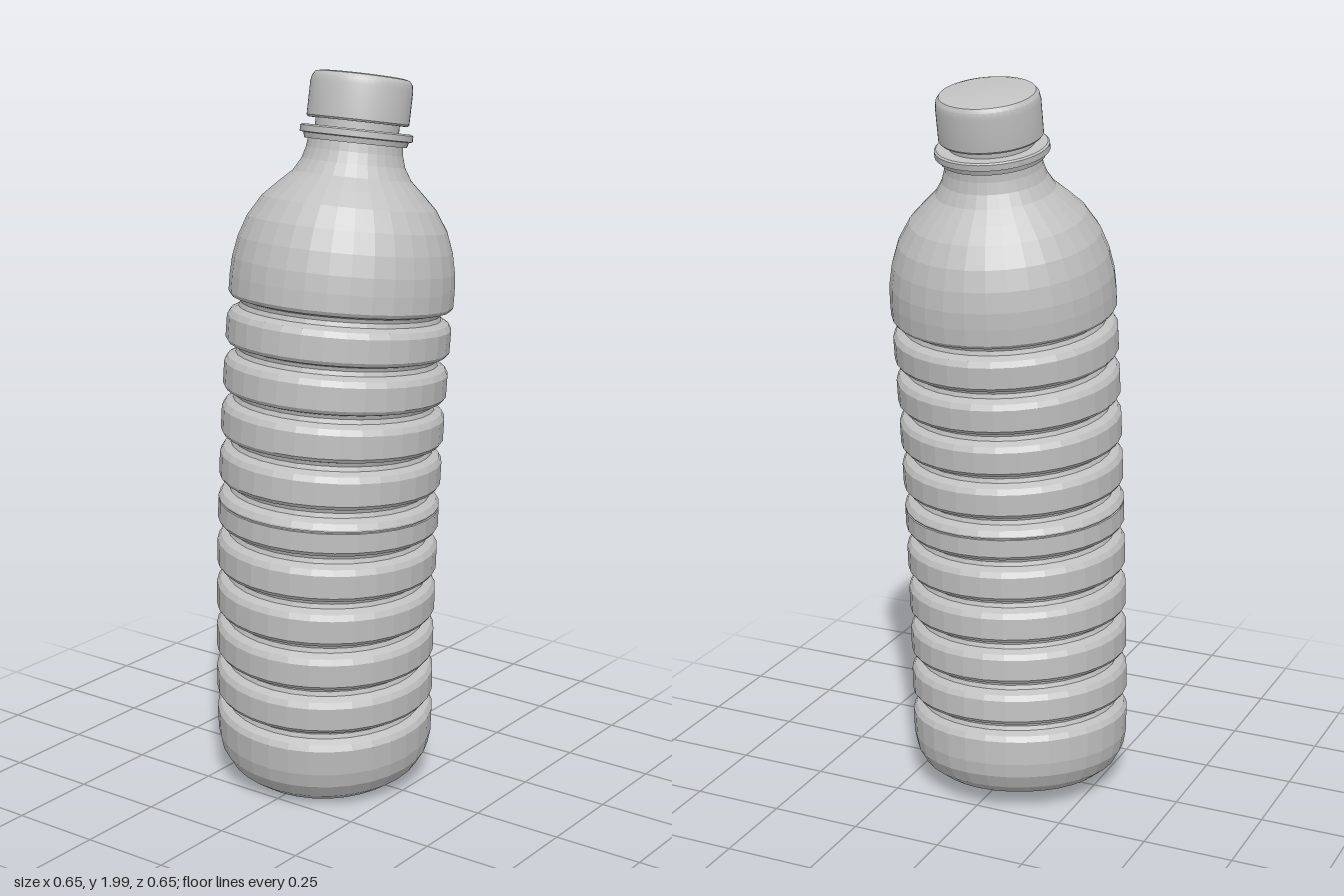
import * as THREE from 'three';
import { toCreasedNormals } from 'three/addons/utils/BufferGeometryUtils.js';

const UP = new THREE.Vector3(0, 1, 0);

// Gently curved centre line of the bottle, and its direction, at height s
const axisAt = (s) => new THREE.Vector3(
  -0.022 + 0.0725 * (s - 0.65) ** 2, s,
  -0.016 + 0.045 * (s - 0.2) - 0.011 * (s - 0.2) ** 2);
const directionAt = (s) => new THREE.Vector3(
  0.145 * (s - 0.65), 1, 0.045 - 0.022 * (s - 0.2)).normalize();

// Turn a [radius, height] profile, then bend it along the centre line
function bentLathe(profile, segments) {
  const geometry = new THREE.LatheGeometry(
    profile.map(([r, s]) => new THREE.Vector2(r, s)), segments, Math.PI / segments);
  const pos = geometry.attributes.position;
  const v = new THREE.Vector3();
  const q = new THREE.Quaternion();
  for (let i = 0; i < pos.count; i++) {
    const s = pos.getY(i);
    q.setFromUnitVectors(UP, directionAt(s));
    v.set(pos.getX(i), 0, pos.getZ(i)).applyQuaternion(q).add(axisAt(s));
    pos.setXYZ(i, v.x, v.y, v.z);
  }
  geometry.computeVertexNormals();
  return geometry;
}

export function createModel() {
  const group = new THREE.Group();
  const facetedGrey = new THREE.MeshStandardMaterial({ color: 0xc0c0c0, flatShading: true });
  facetedGrey.name = 'grey plastic';
  const add = (name, geometry, material) => {
    const mesh = new THREE.Mesh(geometry, material);
    mesh.name = name;
    group.add(mesh);
  };

  // Body: rounded base, ten grooves between ribs, domed shoulder, neck
  const R = 0.305;
  const body = [[0, 0.022], [0.185, 0.022], [0.235, 0.032], [0.272, 0.06], [0.295, 0.1], [0.303, 0.14]];
  for (let i = 0; i < 10; i++) {
    const s = 0.246 + 0.1236 * i;
    body.push([R, s - 0.037], [0.296, s - 0.022], [0.276, s - 0.012],
      [0.272, s], [0.276, s + 0.010], [0.298, s + 0.016], [R, s + 0.026]);
    // Fine mould seam around the middle rib
    if (i === 4) body.push([R, s + 0.077], [R - 0.004, s + 0.078], [R - 0.004, s + 0.081], [R, s + 0.082]);
  }
  body.push([R, 1.43], [0.302, 1.475], [0.291, 1.53], [0.271, 1.585], [0.236, 1.64],
    [0.195, 1.68], [0.16, 1.712], [0.14, 1.745], [0.131, 1.775], [0.128, 1.8]);
  add('body', bentLathe(body, 32), facetedGrey);

  // Neck finish, with a stepped collar under the cap
  const smooth = (profile) => toCreasedNormals(bentLathe(profile, 48), 0.5);
  const smoothGrey = facetedGrey.clone();
  smoothGrey.flatShading = false;
  add('neck', smooth([[0.128, 1.798], [0.113, 1.806], [0.113, 1.875], [0, 1.875]]), smoothGrey);
  add('neckRing', smooth([[0.11, 1.798], [0.138, 1.798], [0.142, 1.812], [0.152, 1.814],
    [0.152, 1.83], [0.147, 1.834], [0.11, 1.834]]), smoothGrey);

  // Screw cap with a rounded top edge
  add('cap', smooth([[0, 1.853], [0.134, 1.853], [0.138, 1.858], [0.138, 1.945],
    [0.135, 1.962], [0.127, 1.972], [0.115, 1.975], [0, 1.975]]), smoothGrey);
  return group;
}
